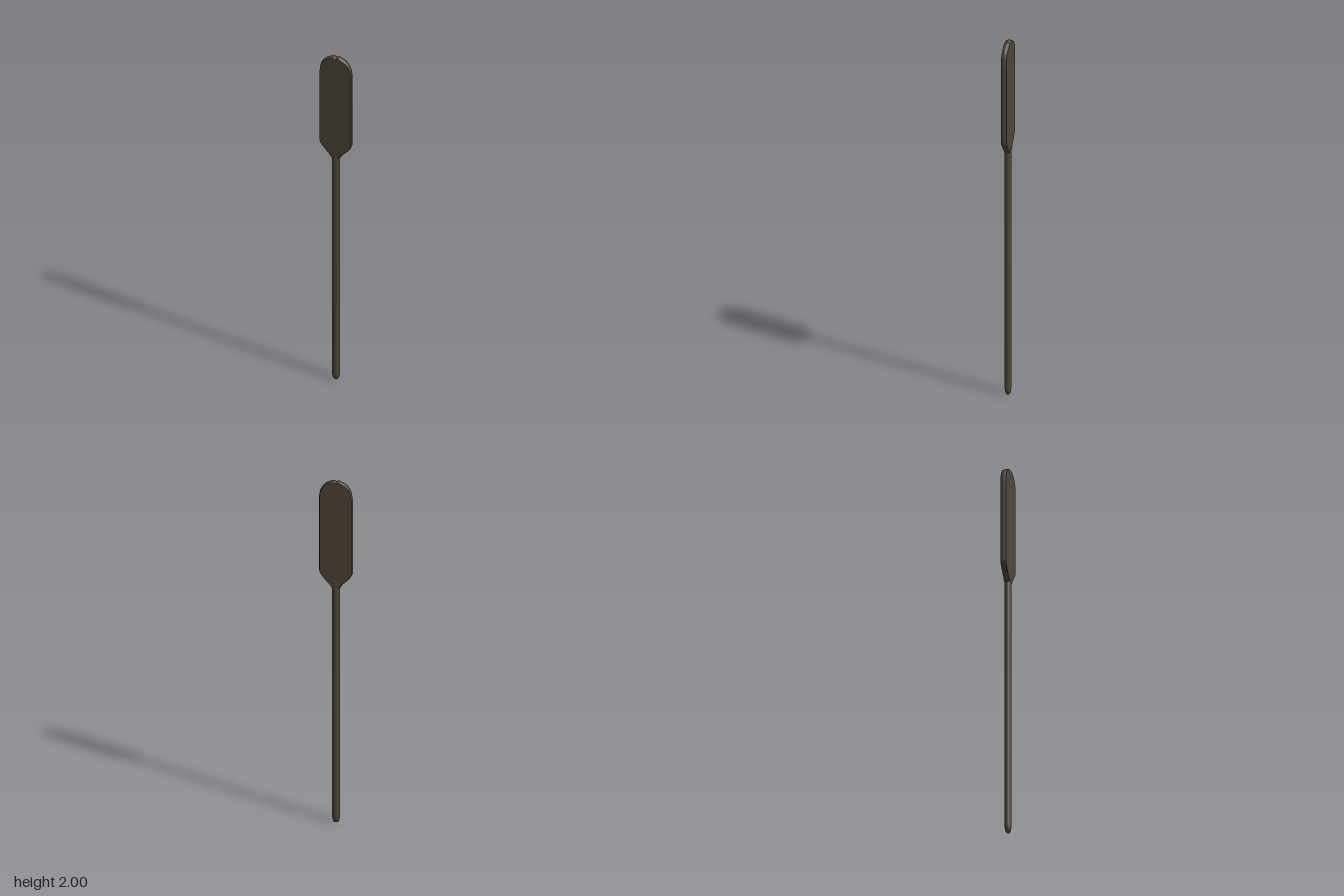
import * as THREE from 'three';

export function createModel() {
  const model = new THREE.Group();
  model.name = 'paddle';
  const wood = new THREE.MeshStandardMaterial({ color: 0x4f4638 });
  wood.name = 'dark wood';

  const add = (name, geometry) => {
    const mesh = new THREE.Mesh(geometry, wood);
    mesh.name = name;
    model.add(mesh);
    return mesh;
  };

  // Oval shaft with a rounded butt, thinning into the blade
  const profile = [
    [0, 0], [0.012, 0.003], [0.018, 0.015], [0.0215, 0.04],
    [0.0215, 1.24], [0.0205, 1.38], [0.014, 1.5], [0, 1.52],
  ].map(([r, y]) => new THREE.Vector2(r, y));
  const shaft = new THREE.LatheGeometry(profile, 12);
  shaft.scale(1, 1, 0.83);
  add('shaft', shaft);

  // Flat blade: half an outline, mirrored, with a shallow notch at the tip
  const half = [
    [0.021, 1.375], [0.033, 1.395], [0.06, 1.425], [0.08, 1.452], [0.086, 1.468],
    [0.086, 1.905], [0.081, 1.938], [0.07, 1.963], [0.055, 1.981],
    [0.038, 1.991], [0.02, 2.0], [0.008, 2.0],
  ];
  const outline = [
    ...half,
    [0, 1.996],
    ...half.slice().reverse().map(([x, y]) => [-x, y]),
  ].map(([x, y]) => new THREE.Vector2(x, y));

  // The rim comes to a slight ridge halfway through the thickness
  const blade = new THREE.ExtrudeGeometry(new THREE.Shape(outline), {
    depth: 0.002,
    bevelEnabled: true,
    bevelThickness: 0.0135,
    bevelSize: 0.004,
    bevelOffset: -0.004,
    bevelSegments: 1,
  });
  blade.translate(0, 0, -0.001);
  add('blade', blade);

  return model;
}
